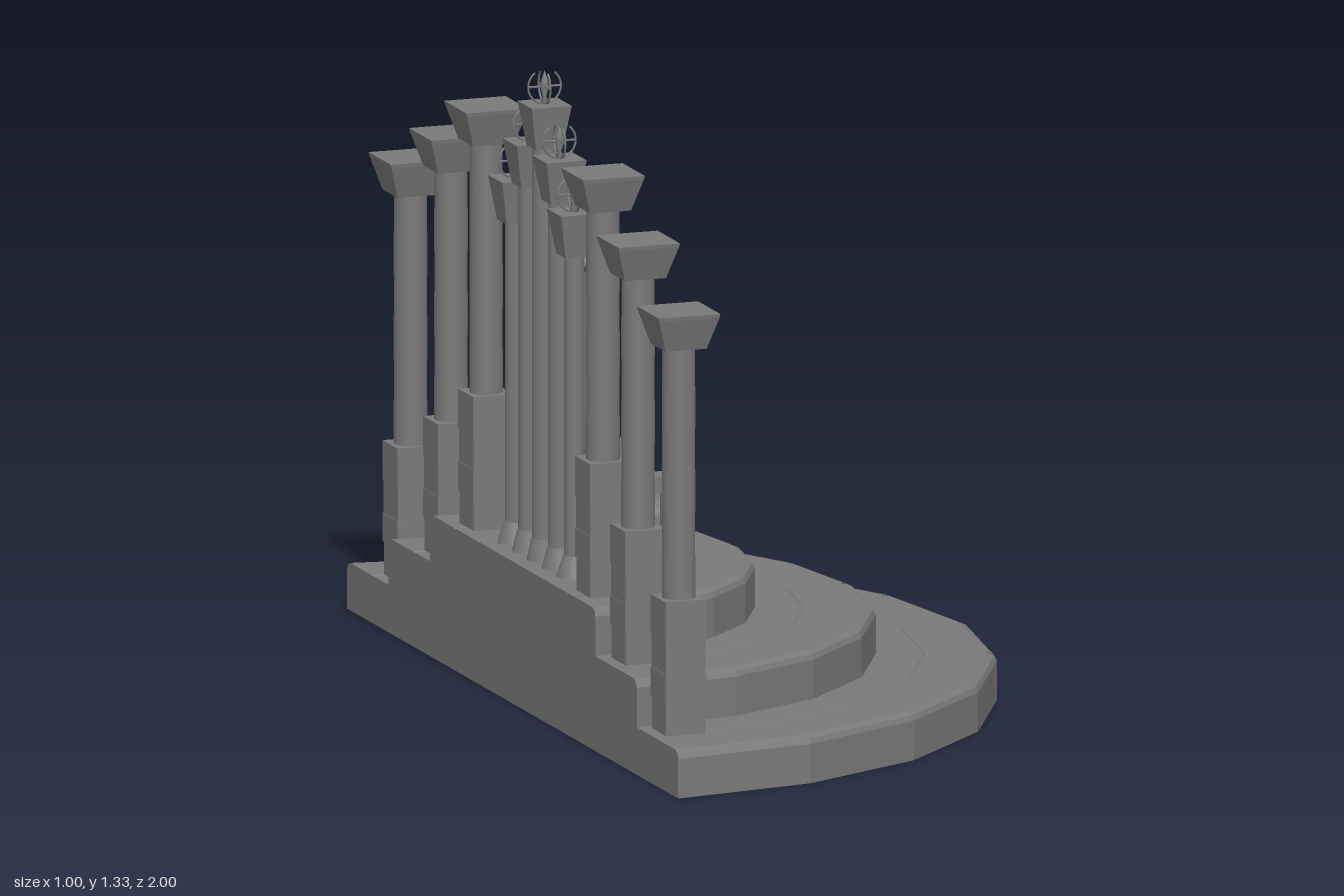
import * as THREE from 'three';
import { toCreasedNormals } from 'three/addons/utils/BufferGeometryUtils.js';

const STONE = 0x7a7a7a;
const smooth = new THREE.MeshStandardMaterial({ color: STONE });
const flat = new THREE.MeshStandardMaterial({ color: STONE, flatShading: true });
const thin = new THREE.MeshStandardMaterial({ color: STONE, side: THREE.DoubleSide });
const BACK = -0.5;    // straight rear edge of the dais
const ROW = -0.43;    // line on which all columns stand

function add(parent, name, geometry, x, y, z, material = smooth) {
  const mesh = new THREE.Mesh(geometry, material);
  mesh.name = name;
  mesh.position.set(x, y, z);
  parent.add(mesh);
  return mesh;
}

function group(parent, name, x = 0, y = 0, z = 0) {
  const g = new THREE.Group();
  g.name = name;
  g.position.set(x, y, z);
  parent.add(g);
  return g;
}

const profile = pairs => pairs.map(([x, y]) => new THREE.Vector2(x, y));

// Square frustum standing on y = 0
function frustum(bottom, top, height) {
  return new THREE.CylinderGeometry(top * Math.SQRT1_2, bottom * Math.SQRT1_2, height, 4)
    .rotateY(Math.PI / 4).translate(0, height / 2, 0);
}

// Half-round step: ten chamfered blocks with fine joints over a solid core
function addStep(parent, radius, y) {
  const step = group(parent, 'step', BACK, y, 0);
  const points = profile([[0, 0], [radius, 0], [radius, 0.083], [radius - 0.005, 0.094], [radius - 0.018, 0.1],
    [radius - 0.148, 0.1], [radius - 0.15, 0.098], [radius - 0.152, 0.1], [0, 0.1]]);
  const arc = Math.PI / 10, joint = 0.0012 / radius;
  for (let i = 0; i < 10; i++) {
    add(step, 'stepBlock', new THREE.LatheGeometry(points, 1, i * arc + joint, arc - 2 * joint), 0, 0, 0, flat);
  }
  const core = profile([[0, 0.001], [radius - 0.005, 0.001], [radius - 0.005, 0.083], [radius - 0.02, 0.097], [0, 0.097]]);
  add(step, 'stepCore', new THREE.LatheGeometry(core, 10, 0, Math.PI), 0, 0, 0, flat);
  const half = points.slice(1, 8);
  const outline = [...half, ...half.slice().reverse().map(p => new THREE.Vector2(-p.x, p.y))];
  add(step, 'stepBack', new THREE.ShapeGeometry(new THREE.Shape(outline)).rotateY(-Math.PI / 2), 0, 0, 0, flat);
}

// Large column: stacked square plinth, drums and a flaring capital
function addColumn(parent, y, z) {
  const column = group(parent, 'column', ROW, y, z);
  [[0, 0.07, 0.086], [0.07, 0.13, 0.09], [0.13, 0.2, 0.087], [0.2, 0.283, 0.09]].forEach(([a, b, w]) =>
    add(column, 'plinthBlock', new THREE.BoxGeometry(w, b - a, w), 0, (a + b) / 2, 0, flat));
  const drums = 6, h = (0.815 - 0.283) / drums;
  for (let i = 0; i < drums; i++) {
    const r = i % 2 ? 0.0342 : 0.0348;
    add(column, 'drum', new THREE.CylinderGeometry(r, r, h, 20), 0, 0.283 + h * (i + 0.5), 0);
  }
  add(column, 'capital', frustum(0.09, 0.132, 0.068), 0, 0.812, 0, flat);
  add(column, 'capitalTop', frustum(0.132, 0.135, 0.008), 0, 0.88, 0, flat);
}

// Open-topped ring ornament with a central spindle
function addOrnament(parent, y) {
  const ornament = group(parent, 'ornament', 0, y, 0);
  const arc = Math.PI * 1.6;
  for (const turn of [0, Math.PI / 2]) {
    const ring = new THREE.TorusGeometry(0.036, 0.0022, 6, 24, arc)
      .rotateZ(Math.PI * 1.5 - arc / 2).rotateY(turn);
    add(ornament, 'openRing', ring, 0, 0.036, 0);
    add(ornament, 'crossbar', new THREE.CylinderGeometry(0.0025, 0.0025, 0.072, 6).rotateZ(Math.PI / 2).rotateY(turn), 0, 0.036, 0);
  }
  const spindle = profile([[0, 0], [0.01, 0], [0.004, 0.014], [0.009, 0.036], [0.007, 0.05], [0, 0.07]]);
  add(ornament, 'spindle', new THREE.LatheGeometry(spindle, 10), 0, 0, 0);
}

// Slender pillar of the throne back
function addPillar(parent, z, top, radius) {
  const pillar = group(parent, 'pillar', ROW, 0.3, z);
  const height = top - 0.3;
  add(pillar, 'pillarFoot', new THREE.CylinderGeometry(radius + 0.002, 0.037, 0.045, 20), 0, 0.0225, 0);
  add(pillar, 'pillarShaft', new THREE.CylinderGeometry(radius, radius, height - 0.08, 20), 0, (height - 0.08) / 2, 0);
  add(pillar, 'pillarCapital', frustum(0.058, 0.085, 0.084), 0, height - 0.092, 0, flat);
  add(pillar, 'pillarCapitalTop', frustum(0.085, 0.088, 0.008), 0, height - 0.008, 0, flat);
  addOrnament(pillar, height);
}

// Cushioned seat with rounded front corners and a soft top edge
function addSeat(parent) {
  const bevel = 0.028, w = 0.14 - bevel, x0 = -0.4, x1 = -0.142 - bevel, r = 0.058;
  const shape = new THREE.Shape();
  shape.moveTo(x0, -w);
  shape.lineTo(x1 - r, -w);
  shape.absarc(x1 - r, -w + r, r, -Math.PI / 2, 0);
  shape.lineTo(x1, w - r);
  shape.absarc(x1 - r, w - r, r, 0, Math.PI / 2);
  shape.lineTo(x0, w);
  const geometry = new THREE.ExtrudeGeometry(shape, {
    depth: 0.13 - bevel, bevelThickness: bevel, bevelSize: bevel, bevelSegments: 5, curveSegments: 8,
  }).rotateX(-Math.PI / 2);
  add(parent, 'seat', toCreasedNormals(geometry, 0.7), 0, 0.3, 0);
}

// Pleated curtain on a rod; the folds are uneven, deepen and drift downwards
function addCurtain(parent) {
  const curtain = group(parent, 'curtain', -0.385, 0, 0);
  const cloth = new THREE.PlaneGeometry(0.23, 0.61, 110, 16).rotateY(Math.PI / 2);
  const p = cloth.attributes.position;
  for (let i = 0; i < p.count; i++) {
    const t = 0.5 - p.getY(i) / 0.61, z = p.getZ(i);
    const fold = 0.6 * Math.sin(z * 165 + t * 1.2) + 0.4 * Math.sin(z * 97 - t * 1.6 + 1);
    p.setX(i, 0.004 + 0.011 * t + fold * (0.004 + 0.006 * t));
    p.setZ(i, z * (1 + 0.03 * t) + 0.003 * Math.sin(z * 80 + t * 4) * t);
  }
  cloth.computeVertexNormals();
  add(curtain, 'curtainCloth', cloth, 0, 0.635, 0, thin);
  add(curtain, 'curtainRod', new THREE.CylinderGeometry(0.007, 0.007, 0.25, 10).rotateX(Math.PI / 2), 0, 0.942, 0);
  for (const side of [-1, 1]) {
    add(curtain, 'rodFinial', new THREE.ConeGeometry(0.016, 0.028, 12).rotateX(side * Math.PI / 2), 0, 0.942, side * 0.132);
  }
}

// Armrest: board with sloping ends on two round posts
function addArmrest(parent, side) {
  const arm = group(parent, 'armrest', 0, 0, side * 0.173);
  const shape = new THREE.Shape(profile([[-0.362, 0.466], [-0.198, 0.466], [-0.182, 0.5], [-0.376, 0.5]]));
  add(arm, 'armBoard', new THREE.ExtrudeGeometry(shape, { depth: 0.056, bevelEnabled: false }).translate(0, 0, -0.028), 0, 0, 0, flat);
  for (const x of [-0.347, -0.22]) {
    add(arm, 'armPost', new THREE.CylinderGeometry(0.018, 0.018, 0.168, 16), x, 0.383, 0);
  }
}

export function createModel() {
  const model = new THREE.Group();
  model.name = 'throneDais';

  const dais = group(model, 'dais');
  [1, 0.75, 0.5].forEach((radius, i) => addStep(dais, radius, i * 0.1));

  // Three columns a side, one per step, rising towards the middle
  const colonnade = group(model, 'colonnade');
  const throne = group(model, 'throne');
  for (const side of [-1, 1]) {
    [0.81, 0.565, 0.353].forEach((z, i) => addColumn(colonnade, 0.1 * (i + 1), side * z));
    addPillar(throne, side * 0.09, 1.165, 0.024);
    addPillar(throne, side * 0.178, 1.07, 0.021);
    addArmrest(throne, side);
  }
  addPillar(throne, 0, 1.262, 0.026);
  addSeat(throne);
  addCurtain(throne);
  return model;
}
